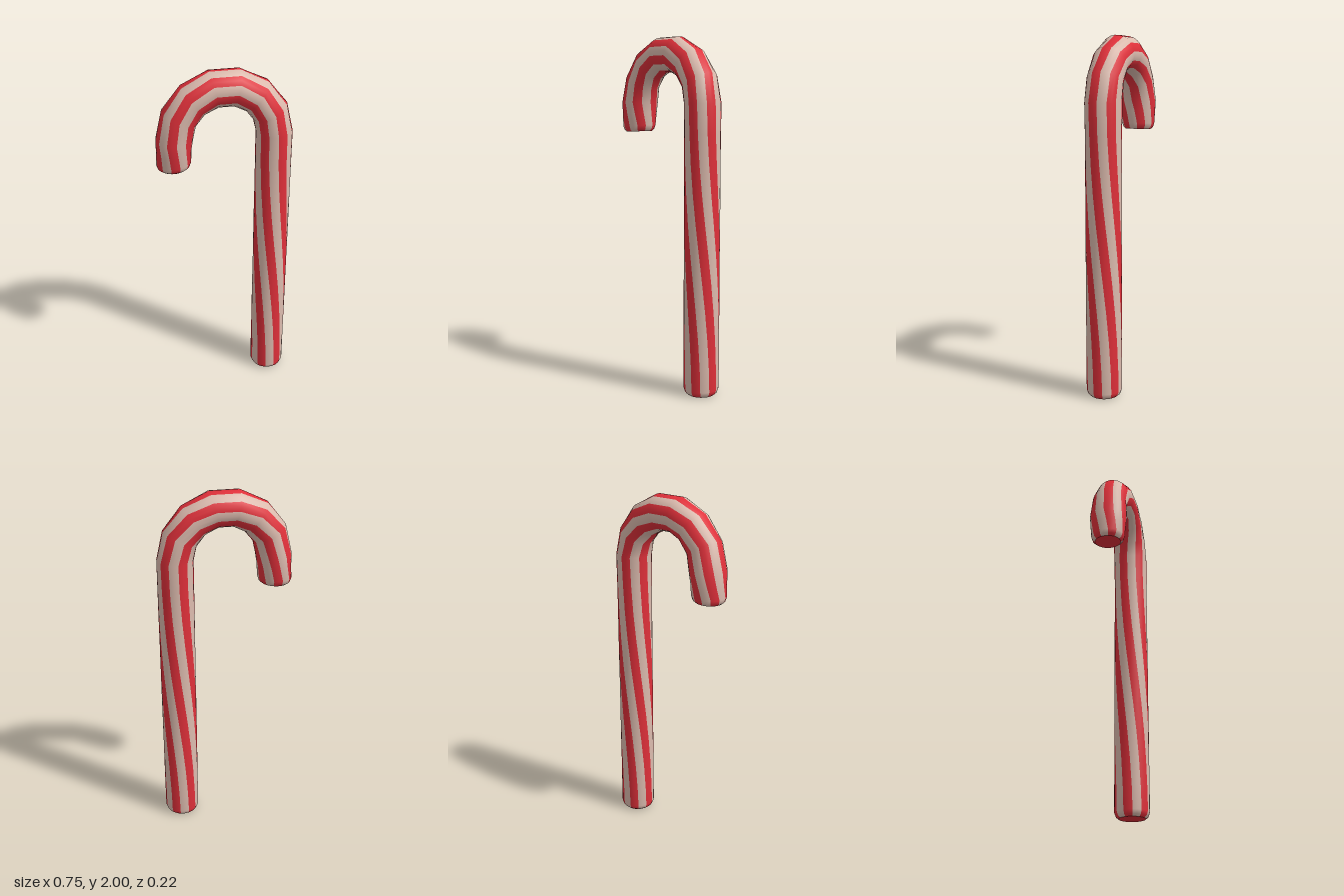
import * as THREE from 'three';

const SIDES = 24;      // two columns per stripe, twelve stripes
const R = 0.2725;      // hook centreline radius
const HOOK_Y = 1.637;  // height where the stem meets the hook

// Each ring: centre, outward direction, radius, stripe twist in degrees, depth scale
function makeRings() {
  const rings = [];
  const add = (x, y, angle, r, twist, depth = 1) => rings.push({ x, y, angle, r, twist, depth });

  // Rounded foot and twisted stem
  for (const [y, r] of [[0, 0.077], [0.012, 0.091], [0.035, 0.1]]) add(R, y, 0, r, -60);
  for (let i = 1; i < 10; i++) {
    const t = i / 10;
    add(R, HOOK_Y * t, 0, 0.1, -60 + 74 * t * t * (3 - 2 * t));
  }
  // Hook in seven segments
  for (let i = 0; i <= 7; i++) {
    const a = Math.PI * i / 7;
    const depth = i === 7 ? 1.08 : i === 0 ? 1.03 : 1;
    add(R * Math.cos(a), HOOK_Y + R * Math.sin(a), a, 0.1, -12 + 26 * Math.cos(a) ** 2, depth);
  }
  // Short drop to the rounded tip
  const tip = Math.PI + 0.05;
  add(-0.277, 1.57, tip, 0.095, 22, 1.08);
  add(-0.281, 1.5, tip, 0.096, 30);
  add(-0.281, 1.477, tip, 0.088, 30);
  add(-0.281, 1.466, tip, 0.074, 30);
  return rings;
}

function ringPoint(g, j) {
  const phi = THREE.MathUtils.degToRad(g.twist - 15 + (360 * j) / SIDES);
  const out = g.r * Math.cos(phi);
  return [g.x + out * Math.cos(g.angle), g.y + out * Math.sin(g.angle), g.r * g.depth * Math.sin(phi)];
}

// Swept body with one geometry group per stripe colour
function bodyGeometry(rings) {
  const positions = [];
  const faces = [[], []];
  for (const g of rings) for (let j = 0; j < SIDES; j++) positions.push(...ringPoint(g, j));
  for (let i = 0; i < rings.length - 1; i++) {
    for (let j = 0; j < SIDES; j++) {
      const k = (j + 1) % SIDES;
      const a = i * SIDES + j, b = i * SIDES + k, c = a + SIDES, d = b + SIDES;
      faces[Math.floor(j / 2) % 2].push(a, c, b, b, c, d);
    }
  }
  const geo = new THREE.BufferGeometry();
  geo.setAttribute('position', new THREE.Float32BufferAttribute(positions, 3));
  geo.setIndex([...faces[0], ...faces[1]]);
  geo.addGroup(0, faces[0].length, 0);
  geo.addGroup(faces[0].length, faces[1].length, 1);
  geo.computeVertexNormals();
  return geo;
}

// Flat disc closing one end
function capGeometry(ring, atStart) {
  const positions = [ring.x, ring.y, 0];
  const index = [];
  for (let j = 0; j < SIDES; j++) {
    positions.push(...ringPoint(ring, j));
    const a = j + 1, b = ((j + 1) % SIDES) + 1;
    index.push(0, ...(atStart ? [a, b] : [b, a]));
  }
  const geo = new THREE.BufferGeometry();
  geo.setAttribute('position', new THREE.Float32BufferAttribute(positions, 3));
  geo.setIndex(index);
  geo.computeVertexNormals();
  return geo;
}

export function createModel() {
  const red = new THREE.MeshStandardMaterial({ color: 0xe0303a });
  red.name = 'red';
  const cream = new THREE.MeshStandardMaterial({ color: 0xdcbbae });
  cream.name = 'cream';

  const group = new THREE.Group();
  group.name = 'candyCane';
  const rings = makeRings();
  const add = (name, geo, mat) => {
    const mesh = new THREE.Mesh(geo, mat);
    mesh.name = name;
    group.add(mesh);
  };
  add('stripedCane', bodyGeometry(rings), [red, cream]);
  add('footCap', capGeometry(rings[0], true), red);
  add('tipCap', capGeometry(rings[rings.length - 1], false), red);
  return group;
}
